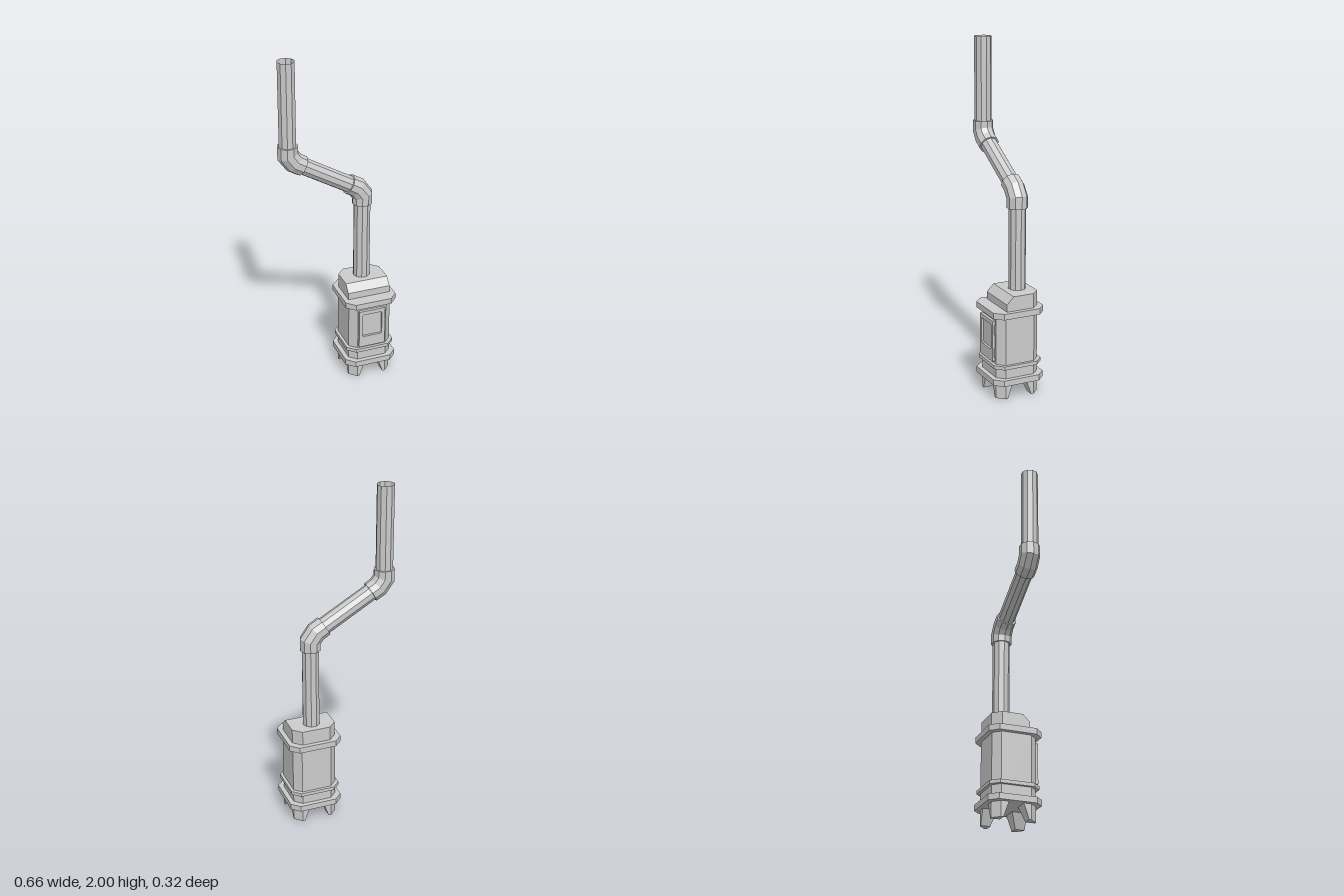
import * as THREE from 'three';

const grey = new THREE.MeshStandardMaterial({ color: 0xcccccc, flatShading: true });
const greyOpen = new THREE.MeshStandardMaterial({ color: 0xcccccc, flatShading: true, side: THREE.DoubleSide });

const STOVE_X = 0.173, PIPE_Z = -0.046;

// Skin a stack of rings (each counter-clockwise seen from its far end), optionally capped
function loft(rings, capped = true) {
  const pos = [];
  const tri = (a, b, c) => pos.push(...a, ...b, ...c);
  const n = rings[0].length;
  for (let r = 0; r < rings.length - 1; r++) {
    const lo = rings[r], hi = rings[r + 1];
    for (let i = 0; i < n; i++) {
      const j = (i + 1) % n;
      tri(lo[i], lo[j], hi[j]);
      tri(lo[i], hi[j], hi[i]);
    }
  }
  if (capped) {
    const first = rings[0], last = rings[rings.length - 1];
    for (let i = 1; i < n - 1; i++) {
      tri(first[0], first[i + 1], first[i]);
      tri(last[0], last[i], last[i + 1]);
    }
  }
  const g = new THREE.BufferGeometry();
  g.setAttribute('position', new THREE.Float32BufferAttribute(pos, 3));
  g.computeVertexNormals();
  return g;
}

function add(parent, name, geometry, material = grey) {
  const mesh = new THREE.Mesh(geometry, material);
  mesh.name = name;
  parent.add(mesh);
  return mesh;
}

const atHeight = (points, y) => points.map(([x, z]) => [x, y, z]);

// Square slab with cut corners
function slab(half, cut, y0, y1) {
  const k = half - cut;
  const p = [[half, k], [half, -k], [k, -half], [-k, -half], [-half, -k], [-half, k], [-k, half], [k, half]];
  return loft([atHeight(p, y0), atHeight(p, y1)]);
}

// Ten-sided mitred tube along a path in the x-y plane
function tube(path, radius, capped) {
  const pts = path.map(([x, y]) => new THREE.Vector2(x, y));
  const dir = i => pts[i + 1].clone().sub(pts[i]).normalize();
  const rings = pts.map((p, i) => {
    const before = dir(Math.max(i - 1, 0)), after = dir(Math.min(i, pts.length - 2));
    const t = before.clone().add(after).normalize();
    const miter = radius / t.dot(after);
    return Array.from({ length: 10 }, (_, k) => {
      const a = k * Math.PI / 5, u = Math.cos(a) * miter;
      return [p.x + t.y * u, p.y - t.x * u, PIPE_Z - Math.sin(a) * radius];
    });
  });
  return loft(rings, capped);
}

function rectangle(target, x0, x1, y0, y1, c) {
  target.moveTo(x0 + c, y0);
  [[x1 - c, y0], [x1, y0 + c], [x1, y1 - c], [x1 - c, y1], [x0 + c, y1], [x0, y1 - c], [x0, y0 + c]]
    .forEach(([x, y]) => target.lineTo(x, y));
  target.closePath();
  return target;
}

export function createModel() {
  const model = new THREE.Group();
  model.name = 'stoveWithFlue';

  const stove = new THREE.Group();
  stove.name = 'stove';
  stove.position.x = STOVE_X;
  model.add(stove);

  // Stacked body sections
  add(stove, 'basePlate', slab(0.158, 0.047, 0.09, 0.125));
  add(stove, 'body', slab(0.131, 0.042, 0.125, 0.49));
  add(stove, 'lowerBand', slab(0.148, 0.046, 0.185, 0.206));
  add(stove, 'topPlate', slab(0.158, 0.047, 0.49, 0.525));

  // Cap with cut back corners and sloping front edge
  const cap = (y, front) => atHeight(
    [[0.131, front], [0.131, -0.085], [0.084, -0.132], [-0.084, -0.132], [-0.131, -0.085], [-0.131, front]], y);
  add(stove, 'cap', loft([cap(0.525, 0.082), cap(0.567, 0.082), cap(0.61, 0.04)]));

  // Four tapered corner legs
  const foot = inner => [[0.131, 0.089], [0.131, inner], [inner, inner], [inner, 0.131], [0.089, 0.131]];
  const legGeometry = loft([atHeight(foot(0.075), 0), atHeight(foot(0.043), 0.09)]);
  for (let i = 0; i < 4; i++) add(stove, 'leg', legGeometry).rotation.y = i * Math.PI / 2;

  // Door frame with recessed window and hinges
  const door = new THREE.Group();
  door.name = 'door';
  stove.add(door);
  const frame = rectangle(new THREE.Shape(), -0.086, 0.078, 0.22, 0.465, 0.004);
  frame.holes.push(rectangle(new THREE.Path(), -0.065, 0.058, 0.29, 0.44, 0.006));
  add(door, 'doorFrame', new THREE.ExtrudeGeometry(frame, { depth: 0.018, bevelEnabled: false })).position.z = 0.13;
  const pane = add(door, 'windowPane', new THREE.BoxGeometry(0.13, 0.155, 0.006));
  pane.position.set(-0.004, 0.365, 0.131);
  for (const y of [0.275, 0.41]) {
    const hinge = add(door, 'hinge', new THREE.CylinderGeometry(0.008, 0.008, 0.055, 8));
    hinge.position.set(0.083, y, 0.133);
  }

  // Flue: two uprights, a slanted run, and two elbows that mirror each other
  const flue = new THREE.Group();
  flue.name = 'flue';
  model.add(flue);
  const elbow = [[0.173, 1.085], [0.173, 1.14], [0.138, 1.189], [0.09, 1.217]];
  const upperElbow = elbow.map(([x, y]) => [-0.1 - x, 2.595 - y]).reverse();
  add(flue, 'lowerElbow', tube(elbow, 0.06, true));
  add(flue, 'upperElbow', tube(upperElbow, 0.06, true));
  add(flue, 'lowerPipe', tube([[0.173, 0.6], [0.173, 1.1]], 0.05, false), greyOpen);
  add(flue, 'slantedPipe', tube([[0.1, 1.211], [-0.2, 1.384]], 0.05, false), greyOpen);
  add(flue, 'upperPipe', tube([[-0.273, 1.5], [-0.273, 2]], 0.05, false), greyOpen);

  return model;
}
